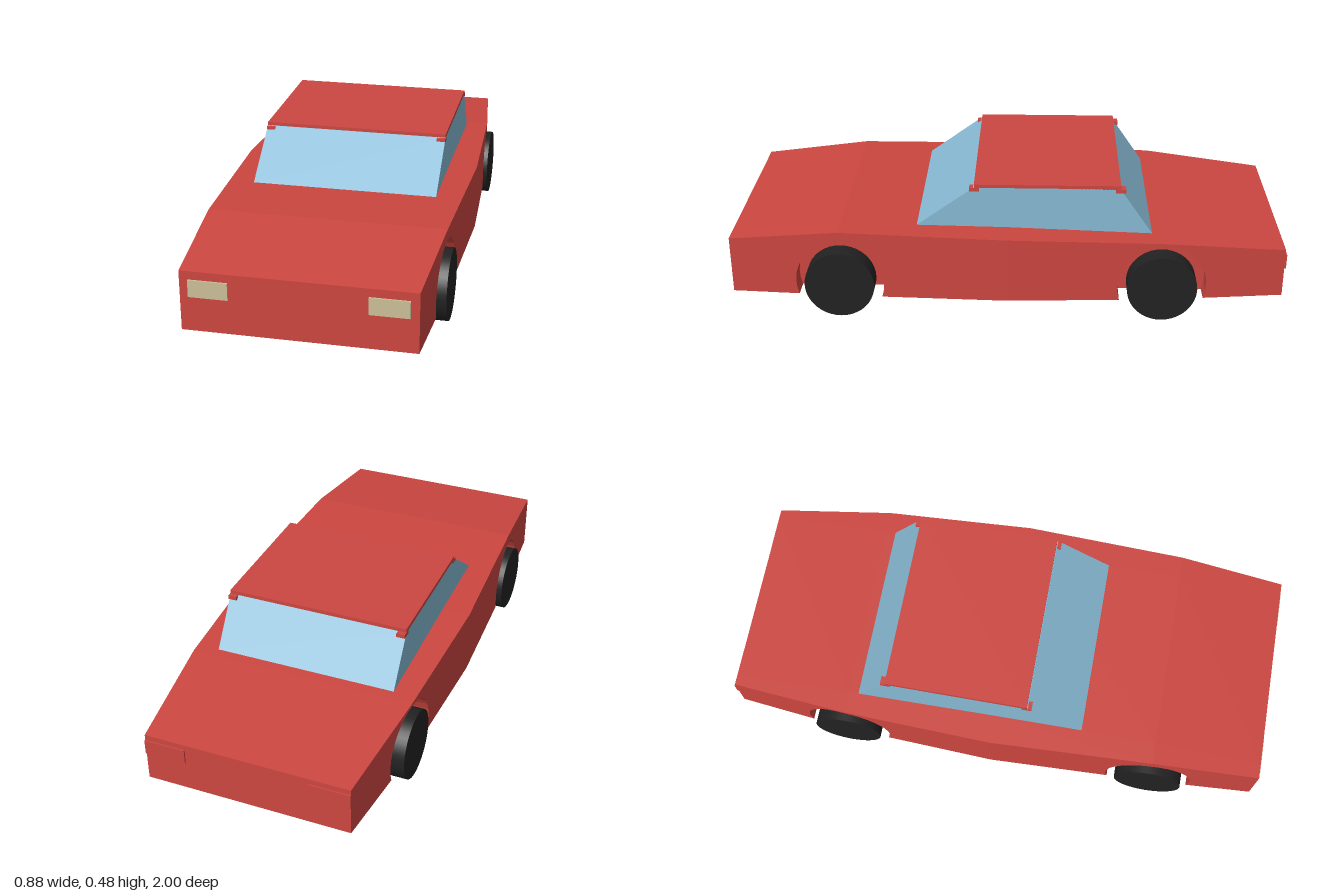
import * as THREE from 'three';

// body stations from front to back: z, deck height, half width, wheel well at this station
const stations = [
  { z: 0.994, top: 0.285, half: 0.39 },
  { z: 0.6, top: 0.326, half: 0.416, wheel: true },
  { z: 0, top: 0.316, half: 0.44 },
  { z: -0.555, top: 0.297, half: 0.416, wheel: true },
  { z: -0.994, top: 0.255, half: 0.37 },
];
const BOTTOM = 0.073, AXLE = 0.125, ARCH = 0.16, WELL = 0.335;

// extrude a (z, y) outline sideways; place(z, depth) gives the x of each vertex
function extrudeSideways(points, side, place) {
  const shape = new THREE.Shape(points.map(([z, y]) => new THREE.Vector2(-side * z, y)));
  const geo = new THREE.ExtrudeGeometry(shape, { depth: 1, bevelEnabled: false });
  const p = geo.attributes.position;
  for (let i = 0; i < p.count; i++) {
    const z = -side * p.getX(i);
    p.setXYZ(i, side * place(z, p.getZ(i)), p.getY(i), z);
  }
  geo.computeVertexNormals();
  return geo;
}

// quarter of a wheel arch, from the sill up to the point above the axle
function archPoints(z, dir) {
  const start = Math.asin((BOTTOM - AXLE) / ARCH), pts = [];
  for (let i = 0; i <= 10; i++) {
    const a = start + (Math.PI / 2 - start) * i / 10;
    pts.push([z + dir * ARCH * Math.cos(a), AXLE + ARCH * Math.sin(a)]);
  }
  return pts;
}

// outline of one flank panel between two stations
function panelOutline(a, b) {
  const pts = [[a.z, a.top], [b.z, b.top]];
  if (b.wheel) pts.push(...archPoints(b.z, 1).reverse());
  else pts.push([b.z, BOTTOM]);
  if (a.wheel) pts.push(...archPoints(a.z, -1));
  else pts.push([a.z, BOTTOM]);
  return pts;
}

export function createModel() {
  const mat = (name, color) => {
    const m = new THREE.MeshStandardMaterial({ color });
    m.name = name;
    return m;
  };
  const red = mat('red paint', 0xcc4640);
  const blue = mat('blue glass', 0x87bad4);
  const black = mat('black rubber', 0x222222);
  const cream = mat('cream lamp', 0xcbc098);

  const car = new THREE.Group();
  car.name = 'car';
  const add = (name, geo, material, x = 0, y = 0, z = 0) => {
    const mesh = new THREE.Mesh(geo, material);
    mesh.name = name;
    mesh.position.set(x, y, z);
    car.add(mesh);
    return mesh;
  };

  // central body between the wheel wells
  const core = stations.map(s => [s.z, s.top]);
  core.push([-0.994, BOTTOM], [0.994, BOTTOM]);
  add('bodyCore', extrudeSideways(core, 1, (z, d) => (d * 2 - 1) * WELL), red);

  // bowed flanks with wheel arches
  for (const side of [1, -1]) {
    for (let i = 0; i < stations.length - 1; i++) {
      const a = stations[i], b = stations[i + 1];
      const outer = z => a.half + (b.half - a.half) * (z - a.z) / (b.z - a.z);
      const geo = extrudeSideways(panelOutline(a, b), side, (z, d) => d > 0.5 ? outer(z) : WELL);
      add('flankPanel', geo, red);
    }
  }

  // glass cabin and roof
  const cabin = [[0.328, 0.319], [0.12, 0.47], [-0.4, 0.47], [-0.52, 0.296]];
  add('cabinGlass', extrudeSideways(cabin, 1, (z, d) => (d * 2 - 1) * 0.335), blue);
  add('roof', new THREE.BoxGeometry(0.67, 0.014, 0.52), red, 0, 0.475, -0.142);

  const wheelGeo = new THREE.CylinderGeometry(0.125, 0.125, 0.07, 40).rotateZ(Math.PI / 2);
  for (const side of [1, -1]) {
    // roof corner tabs
    for (const z of [0.117, -0.402])
      add('roofTab', new THREE.BoxGeometry(0.031, 0.014, 0.036), red, side * 0.32, 0.462, z);
    // wheels
    for (const s of stations.filter(s => s.wheel))
      add('wheel', wheelGeo, black, side * 0.4, 0.125, s.z);
    // lamps
    add('headlight', new THREE.BoxGeometry(0.132, 0.06, 0.008), cream, side * 0.295, 0.226, 0.996);
    add('tailLight', new THREE.BoxGeometry(0.148, 0.055, 0.008), red, side * 0.296, 0.208, -0.996);
  }
  return car;
}
